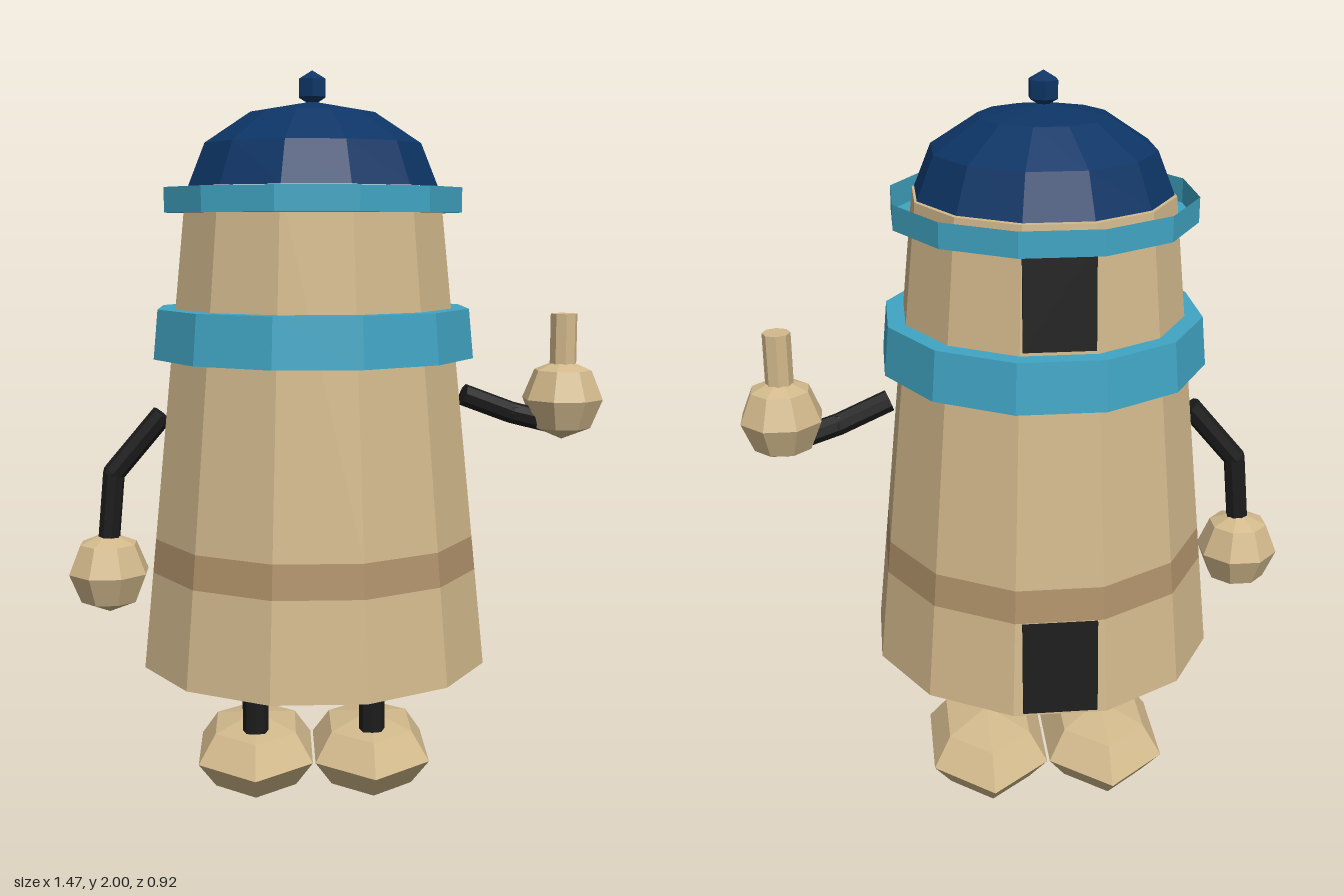
import * as THREE from 'three';

const mat = (name, color, extra = {}) => {
  const m = new THREE.MeshStandardMaterial({ color, flatShading: true, ...extra });
  m.name = name;
  return m;
};

export function createModel() {
  const tan = mat('tan', 0xd2b98c);
  const brown = mat('brown stripe', 0xb0926a);
  const teal = mat('teal', 0x41a5c4, { side: THREE.DoubleSide });
  const navy = mat('navy', 0x0d3566);
  const black = mat('black', 0x1c1c1c);

  const model = new THREE.Group();
  const CX = -0.067, CZ = 0.007;       // axis of the body
  const SIDES = 12, COS = Math.cos(Math.PI / SIDES);
  const Y0 = 0.42, Y1 = 1.695, A0 = 0.457, A1 = 0.331;
  const apothem = (y) => A0 + (A1 - A0) * (y - Y0) / (Y1 - Y0);

  const add = (name, geo, material, x = 0, y = 0, z = 0, parent = model) => {
    const m = new THREE.Mesh(geo, material);
    m.name = name;
    m.position.set(x, y, z);
    parent.add(m);
    return m;
  };

  // Twelve-sided turned part; profile holds [flat radius, height]
  const turned = (name, profile, material) => add(name, new THREE.LatheGeometry(
    profile.map(([r, y]) => new THREE.Vector2(r / COS, y)), SIDES, Math.PI / SIDES), material, CX, 0, CZ);

  // Straight rod between two points
  const rod = (name, a, b, r, material, sides = 8) => {
    const p = new THREE.Vector3(...a), q = new THREE.Vector3(...b);
    const d = q.clone().sub(p);
    const m = add(name, new THREE.CylinderGeometry(r, r, d.length(), sides), material);
    m.position.copy(p).add(q).multiplyScalar(0.5);
    m.quaternion.setFromUnitVectors(new THREE.Vector3(0, 1, 0), d.normalize());
    return m;
  };

  // Tapered body with a painted stripe
  turned('lowerBody', [[0, Y0], [A0, Y0], [apothem(0.68), 0.68]], tan);
  turned('bodyStripe', [[apothem(0.68), 0.68], [apothem(0.77), 0.77]], brown);
  turned('upperBody', [[apothem(0.77), 0.77], [A1, Y1], [0, Y1]], tan);

  // Middle band and open collar under the dome
  turned('middleBand', [[apothem(1.25), 1.25], [0.42, 1.25], [0.408, 1.38], [apothem(1.38), 1.38]], teal);
  turned('collar', [[apothem(1.63), 1.63], [0.387, 1.63], [0.387, 1.695]], teal);

  // Dome and knob
  const dome = [0, 1, 2, 3].map((i) => {
    const t = i * Math.PI / 6;
    return [0.325 * Math.cos(t) * (i < 3 ? 1 : 0), 1.698 + 0.222 * Math.sin(t)];
  });
  turned('dome', dome, navy);
  const knob = add('knob', new THREE.SphereGeometry(0.046, 6, 3), navy, CX, 1.954, CZ);
  knob.rotation.y = Math.PI / 6;

  // Thin panels lying on the sloped back face
  const tilt = Math.atan((A0 - A1) / (Y1 - Y0));
  for (const [name, w, lo, hi] of [['lowerBackPanel', 0.195, 0.43, 0.68], ['upperBackPanel', 0.18, 1.39, 1.65]]) {
    const y = (lo + hi) / 2;
    const p = add(name, new THREE.BoxGeometry(w, hi - lo, 0.009), black, CX, y, CZ - apothem(y) - 0.006);
    p.rotation.x = tilt;
  }

  // Legs and feet
  for (const [side, s] of [['left', 1], ['right', -1]]) {
    const x = CX + s * 0.163;
    rod(side + 'Leg', [x, 0.17, CZ], [x, 0.43, CZ], 0.036, black);
    const geo = new THREE.SphereGeometry(1, 6, 4).rotateY(Math.PI / 2).scale(0.184, 0.107, 0.268);
    add(side + 'Foot', geo, tan, x, 0.109, -0.089);
  }

  // Hands
  const hand = (name, x, y, z) =>
    add(name, new THREE.SphereGeometry(0.113, 8, 4).rotateY(Math.PI / 8), tan, x, y, z);

  // Right arm hangs down
  const R = [[-0.475, 1.09, 0], [-0.61, 0.93, 0], [-0.63, 0.72, -0.005]];
  rod('rightUpperArm', R[0], R[1], 0.03, black);
  rod('rightForearm', R[1], R[2], 0.03, black);
  add('rightElbow', new THREE.SphereGeometry(0.03, 8, 6), black, ...R[1]);
  hand('rightHand', -0.63, 0.653, -0.008);

  // Left arm is raised with one finger up
  const L = [[0.343, 1.14, 0], [0.48, 1.087, -0.025], [0.6, 1.055, -0.047]];
  rod('leftUpperArm', L[0], L[1], 0.03, black);
  rod('leftForearm', L[1], L[2], 0.03, black);
  add('leftElbow', new THREE.SphereGeometry(0.03, 8, 6), black, ...L[1]);
  hand('leftHand', 0.627, 1.122, -0.048);
  rod('leftFinger', [0.627, 1.18, -0.048], [0.627, 1.357, -0.048], 0.037, tan, 8);

  return model;
}
